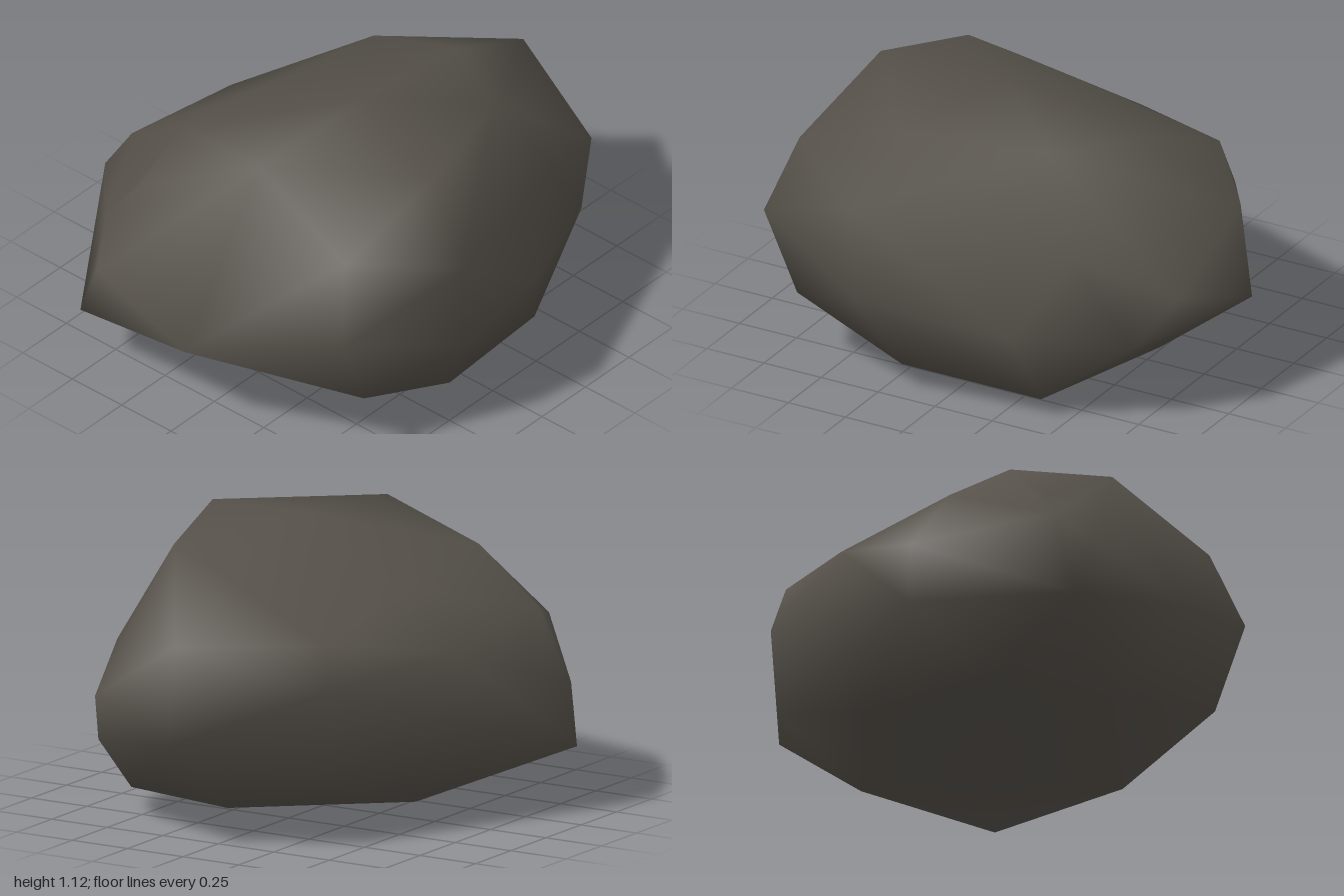
import * as THREE from 'three';
import { ConvexGeometry } from 'three/addons/geometries/ConvexGeometry.js';
import { mergeVertices } from 'three/addons/utils/BufferGeometryUtils.js';

// Corner points of the boulder, grouped by region
const crown = [
  [-0.05, 1.12, 0.14], [-0.61, 1.08, 0.1], [-0.22, 1.07, 0.64], [-0.68, 0.91, 0.6],
  [0.34, 1.03, 0.46], [0.55, 1.0, 0.11], [-0.5, 0.97, -0.38], [0.04, 0.89, -0.38],
];
const frontSide = [
  [-0.31, 0.81, 0.87], [-0.3, 0.43, 0.86], [-0.79, 0.61, 0.68], [-0.65, 0.29, 0.67],
  [0.52, 0.68, 0.6], [0.3, 0.33, 0.7],
];
const leftSide = [
  [0.95, 0.8, 0.07], [1.0, 0.42, 0.07], [0.9, 0.55, 0.46], [0.75, 0.34, 0.54],
  [0.6, 0.79, -0.38], [0.65, 0.62, -0.41], [0.62, 0.26, -0.4],
];
const backSide = [
  [0.1, 0.7, -0.66], [-0.45, 0.77, -0.68], [-0.4, 0.51, -0.86], [-0.41, 0.26, -0.88],
];
const rightSide = [
  [-1.0, 0.41, 0.07], [-0.95, 0.53, -0.42], [-0.93, 0.28, -0.52],
  [-0.7, 0.79, -0.42], [-0.81, 0.655, -0.5],
];
const underside = [
  [-0.03, 0, 0.08], [-0.63, 0.13, 0.05], [0.59, 0.1, 0.06], [-0.18, 0.11, 0.69],
  [0.39, 0.07, 0.62], [-0.47, 0.09, -0.45], [0.12, 0.1, -0.49],
];

export function createModel() {
  const stone = new THREE.MeshStandardMaterial({ color: 0x56514a });
  stone.name = 'dark stone';

  const points = [crown, frontSide, leftSide, backSide, rightSide, underside]
    .flat().map((p) => new THREE.Vector3(...p));

  // Shared corners give the rock its softly shaded facets
  let geometry = new ConvexGeometry(points);
  geometry.deleteAttribute('normal');
  geometry = mergeVertices(geometry);
  geometry.computeVertexNormals();

  const boulder = new THREE.Mesh(geometry, stone);
  boulder.name = 'boulder';

  const group = new THREE.Group();
  group.name = 'rock';
  group.add(boulder);
  return group;
}
